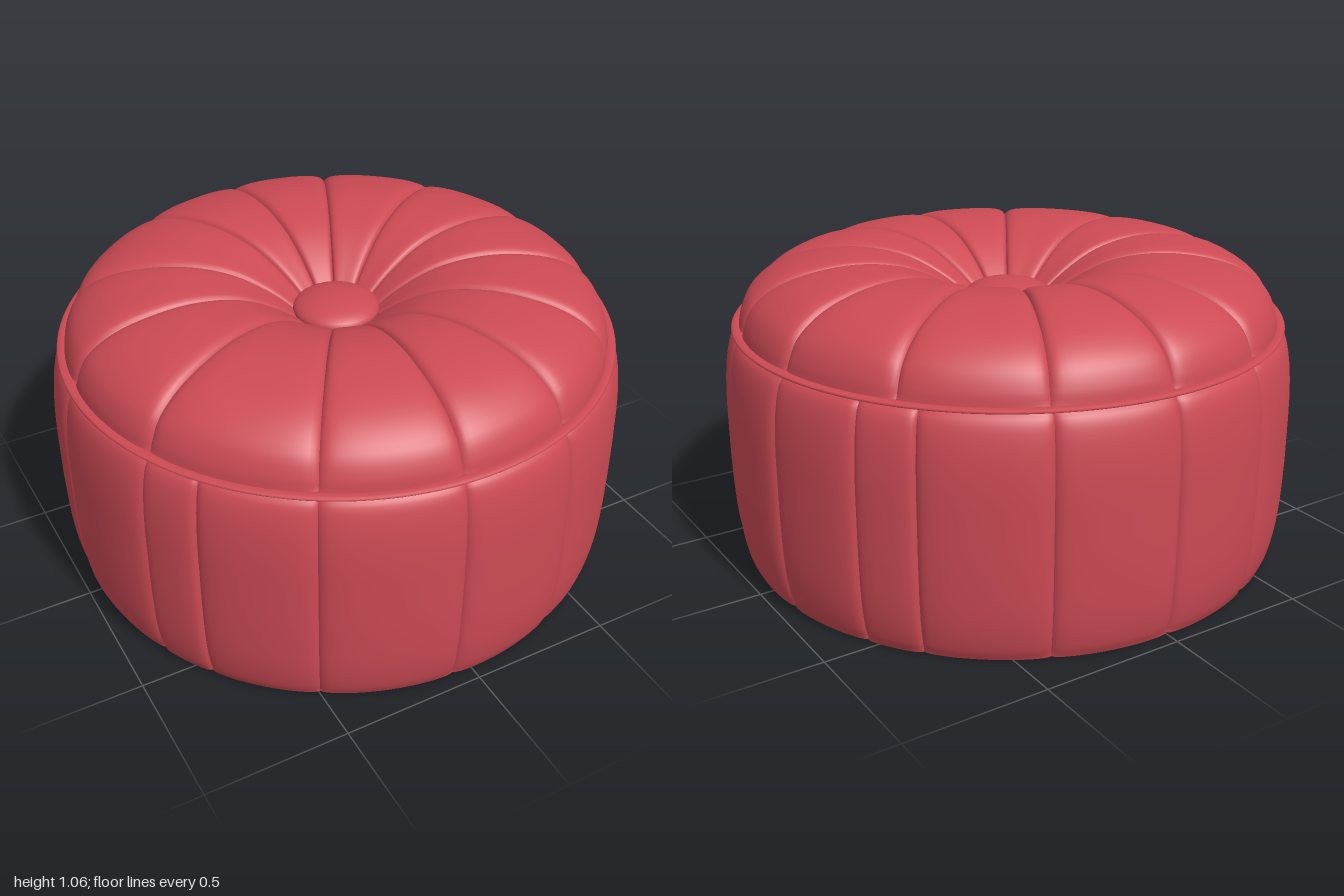
import * as THREE from 'three';

// Seam directions in degrees, turning from the front (+z) towards +x
const TOP_SEAMS = [-4.2, 21.7, 47.9, 73.6, 99, 126.4, 155, 180, 205, 238, 265, 293.6, 328.3];
const SIDE_SEAMS = [-4.2, 21.7, 47.9, 73.6, 98.5, 119, 131, 155.5, 180, 204, 238, 265, 293.6, 305.5, 328.3];

// Profiles as [radius, height], running upwards and then inwards
const SIDE_PROFILE = [[0.95, 0.0], [0.968, 0.04], [0.988, 0.14], [0.998, 0.3], [1.0, 0.45],
  [0.998, 0.62], [0.985, 0.74], [0.965, 0.805], [0.94, 0.832]];
const TOP_PROFILE = [[0.94, 0.836], [0.93, 0.885], [0.895, 0.95], [0.8, 1.015], [0.65, 1.054],
  [0.5, 1.06], [0.35, 1.03], [0.22, 0.96], [0.11, 0.87]];

// One padded panel: the profile swept between two seams, sinking in towards each seam
function panelGeometry(profile, from, to, rows, cols, depth) {
  const curve = new THREE.CatmullRomCurve3(profile.map(([r, y]) => new THREE.Vector3(r, y, 0)));
  const positions = [];
  const index = [];
  for (let i = 0; i <= rows; i++) {
    const u = i / rows;
    const p = curve.getPoint(u);
    const t = curve.getTangent(u);
    const ends = 0.35 + 0.65 * Math.sqrt(Math.sin(Math.PI * u) + 1e-9);
    for (let j = 0; j <= cols; j++) {
      // Columns crowd together near the seams
      const s = Math.sin((j / cols - 0.5) * Math.PI);
      const a = THREE.MathUtils.degToRad(from + (to - from) * (s + 1) / 2);
      const sink = depth * ends * (0.45 * s ** 4 + 0.55 * s ** 20);
      const r = p.x - t.y * sink;
      const y = Math.max(0, p.y + t.x * sink);
      positions.push(r * Math.sin(a), y, r * Math.cos(a));
      if (i < rows && j < cols) {
        const k = i * (cols + 1) + j;
        const n = k + cols + 1;
        index.push(k, k + 1, n + 1, k, n + 1, n);
      }
    }
  }
  const g = new THREE.BufferGeometry();
  g.setAttribute('position', new THREE.Float32BufferAttribute(positions, 3));
  g.setIndex(index);
  g.computeVertexNormals();
  return g;
}

// A full ring of panels, one between each pair of neighbouring seams
function panelRing(name, profile, seams, depth, material) {
  const ring = new THREE.Group();
  ring.name = name;
  seams.forEach((from, i) => {
    const to = i + 1 < seams.length ? seams[i + 1] : seams[0] + 360;
    const panel = new THREE.Mesh(panelGeometry(profile, from, to, 32, 20, depth), material);
    panel.name = name + 'Panel' + (i + 1);
    ring.add(panel);
  });
  return ring;
}

export function createModel() {
  const model = new THREE.Group();
  model.name = 'pouf';
  const fabric = new THREE.MeshStandardMaterial({ color: 0xcc4a54, side: THREE.DoubleSide });
  fabric.name = 'red fabric';

  // Open-bottomed side wall and cushioned top
  model.add(panelRing('side', SIDE_PROFILE, SIDE_SEAMS, 0.024, fabric));
  model.add(panelRing('top', TOP_PROFILE, TOP_SEAMS, 0.028, fabric));

  // Flat piping where the side meets the top
  const piping = new THREE.Mesh(new THREE.TorusGeometry(0.945, 0.021, 10, 128), fabric);
  piping.name = 'piping';
  piping.rotation.x = Math.PI / 2;
  piping.scale.z = 0.35;
  piping.position.y = 0.835;
  model.add(piping);

  // Domed button in the middle
  const button = new THREE.Mesh(new THREE.SphereGeometry(0.15, 40, 20), fabric);
  button.name = 'button';
  button.scale.y = 0.34;
  button.position.y = 0.905;
  model.add(button);

  return model;
}
